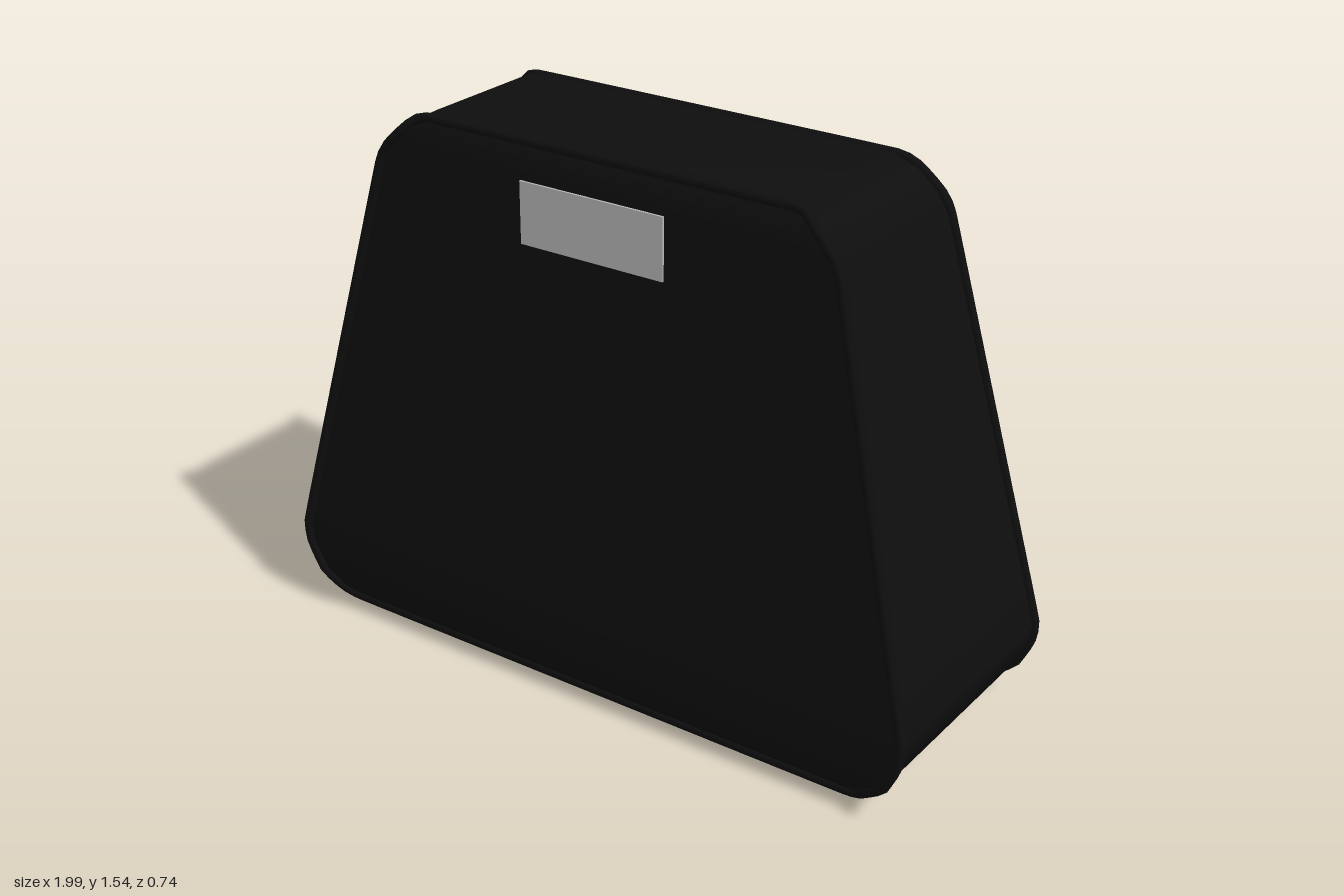
import * as THREE from 'three';

// Right-hand profile, bottom to top: [half width, height, half depth]
const PROFILE = [
  [0.81, 0.048, 0.33], [0.88, 0.072, 0.345], [0.935, 0.11, 0.354], [0.975, 0.19, 0.358],
  [0.985, 0.25, 0.357], [0.958, 0.36, 0.35], [0.707, 1.385, 0.264], [0.672, 1.445, 0.259],
  [0.62, 1.495, 0.248], [0.56, 1.522, 0.23],
];

// Skin a grid of points; each row is a list of [x, y, z]
function skin(rows) {
  const n = rows[0].length;
  const index = [];
  for (let r = 0; r < rows.length - 1; r++) {
    for (let c = 0; c < n - 1; c++) {
      const a = r * n + c;
      index.push(a, a + 1, a + n, a + 1, a + n + 1, a + n);
    }
  }
  const geometry = new THREE.BufferGeometry();
  geometry.setAttribute('position', new THREE.Float32BufferAttribute(rows.flat(2), 3));
  geometry.setIndex(index);
  geometry.computeVertexNormals();
  return geometry;
}

export function createModel() {
  const black = new THREE.MeshStandardMaterial({ color: 0x0e0e0e });
  black.name = 'black leather';
  const silver = new THREE.MeshStandardMaterial({ color: 0xbababa });
  silver.name = 'silver grey';

  const model = new THREE.Group();
  model.name = 'bag';
  const add = (name, geometry, material = black) => {
    const mesh = new THREE.Mesh(geometry, material);
    mesh.name = name;
    model.add(mesh);
    return mesh;
  };

  // Front and back panels
  add('frontPanel', skin(PROFILE.map(([w, y, d]) => [[-w, y, d], [w, y, d]])));
  add('backPanel', skin(PROFILE.map(([w, y, d]) => [[w, y, -d], [-w, y, -d]])));

  // Gusset around the sides, top and base, slightly raised between the seams
  const left = PROFILE.map(([w, y, d]) => [-w, y, d]).reverse();
  const loop = [...PROFILE, ...left];
  const gussetRow = ([x, y, d]) => {
    let lift = 0;
    if (y > 1.49) lift = y > 1.51 ? 0.013 : 0.006;
    if (y < 0.1) lift = y < 0.06 ? -0.011 : -0.005;
    return [[x, y, d], [x, y + lift, d * 0.88], [x, y + lift, -d * 0.88], [x, y, -d]];
  };
  add('gusset', skin([...loop, loop[0]].map(gussetRow)));

  // Piping along both seams
  for (const side of [1, -1]) {
    const path = new THREE.CatmullRomCurve3(
      loop.map(([x, y, d]) => new THREE.Vector3(x, y, side * d)), true, 'catmullrom', 0.1);
    add(side > 0 ? 'frontPiping' : 'backPiping', new THREE.TubeGeometry(path, 200, 0.014, 8, true));
  }

  // Four tapered feet
  for (const x of [-0.553, 0.553]) {
    for (const z of [-0.232, 0.232]) {
      add('foot', new THREE.CylinderGeometry(0.045, 0.02, 0.045, 12)).position.set(x, 0.0225, z);
    }
  }

  // Label plate on the front
  add('labelPlate', new THREE.BoxGeometry(0.44, 0.17, 0.006), silver).position.set(-0.005, 1.35, 0.276);

  return model;
}
